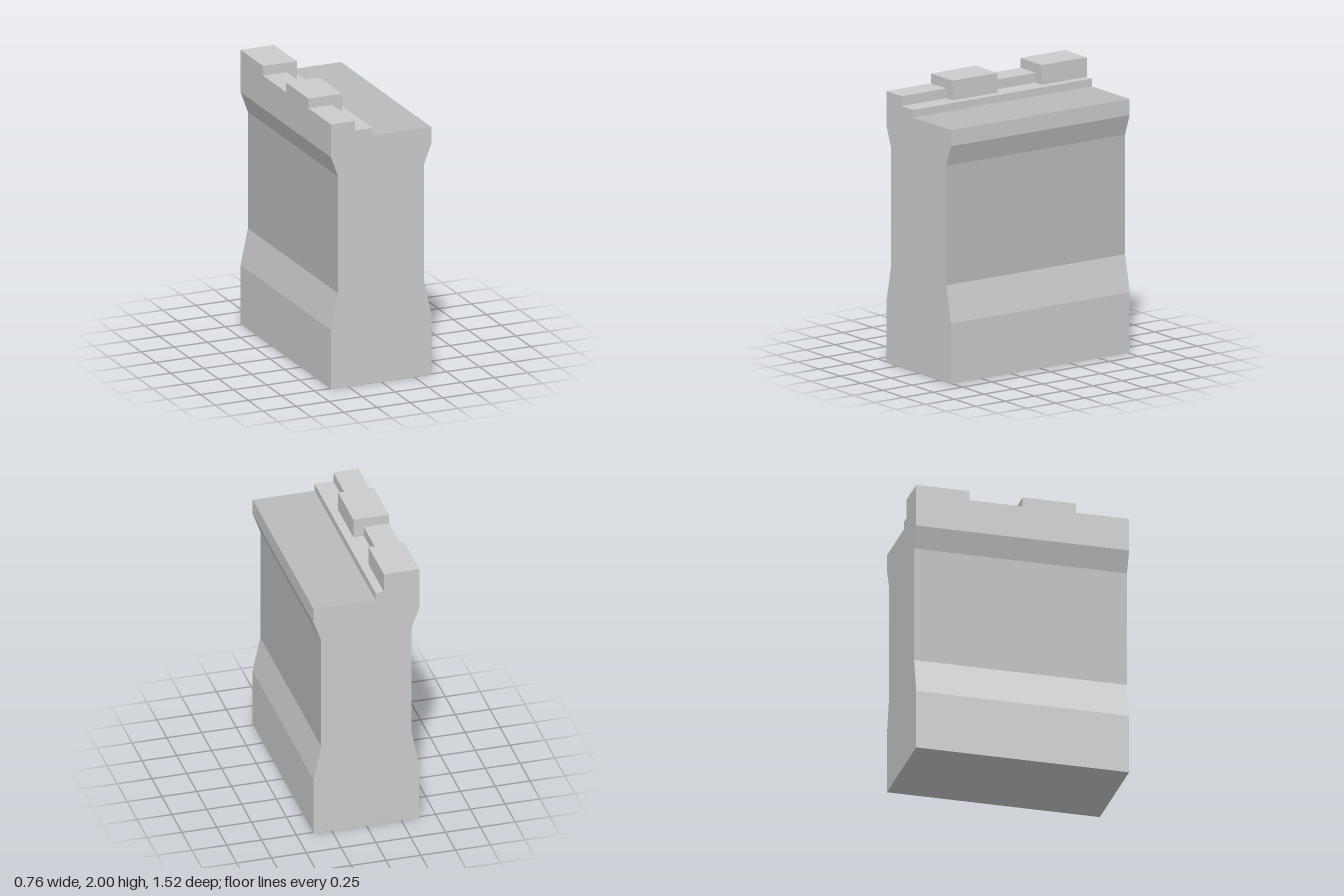
import * as THREE from 'three';

const LENGTH = 1.525;
const BACK = -LENGTH / 2;
const OUTER = -0.38; // x of the parapet's outer face

const stone = new THREE.MeshStandardMaterial({ color: 0xcccccc, flatShading: true });
const wornStone = new THREE.MeshStandardMaterial({ color: 0xbbbbbb, flatShading: true });

// Block given by its inner x, its height range and its z range
function block(name, innerX, y0, y1, z0, z1) {
  const mesh = new THREE.Mesh(new THREE.BoxGeometry(innerX - OUTER, y1 - y0, z1 - z0), stone);
  mesh.position.set((innerX + OUTER) / 2, (y0 + y1) / 2, (z0 + z1) / 2);
  mesh.name = name;
  return mesh;
}

// Wall cross-section with a stepped ledge, extruded along z
function wallBody() {
  const half = [[0.38, 0], [0.38, 0.43], [0.325, 0.69], [0.325, 1.54], [0.38, 1.69]];
  const points = [
    ...half,
    [0.38, 1.805], [-0.065, 1.805], [-0.065, 1.86], [OUTER, 1.86],
    ...half.map(([x, y]) => [-x, y]).reverse(),
  ];
  const shape = new THREE.Shape(points.map(([x, y]) => new THREE.Vector2(x, y)));
  const geometry = new THREE.ExtrudeGeometry(shape, { depth: LENGTH, bevelEnabled: false });
  geometry.translate(0, 0, BACK);

  // Darker stone on the recessed side panels and the walkway
  const p = geometry.attributes.position;
  const n = geometry.attributes.normal;
  geometry.clearGroups();
  for (let i = 0; i < p.count; i += 3) {
    const y = (p.getY(i) + p.getY(i + 1) + p.getY(i + 2)) / 3;
    const panel = Math.abs(n.getX(i)) > 0.99 && y > 0.69 && y < 1.54;
    const walkway = n.getY(i) > 0.99 && y < 1.83;
    geometry.addGroup(i, 3, panel || walkway ? 1 : 0);
  }
  const mesh = new THREE.Mesh(geometry, [stone, wornStone]);
  mesh.name = 'wallBody';
  return mesh;
}

export function createModel() {
  const wall = new THREE.Group();
  wall.name = 'battlementWall';
  wall.add(wallBody());

  // Alternating tall merlons and low crenels along the parapet
  const step = LENGTH / 4;
  for (let i = 0; i < 4; i++) {
    const z0 = BACK + i * step;
    wall.add(i % 2 === 0
      ? block('merlon', -0.125, 1.86, 2, z0, z0 + step)
      : block('crenel', -0.2, 1.86, 1.93, z0, z0 + step));
  }
  return wall;
}
